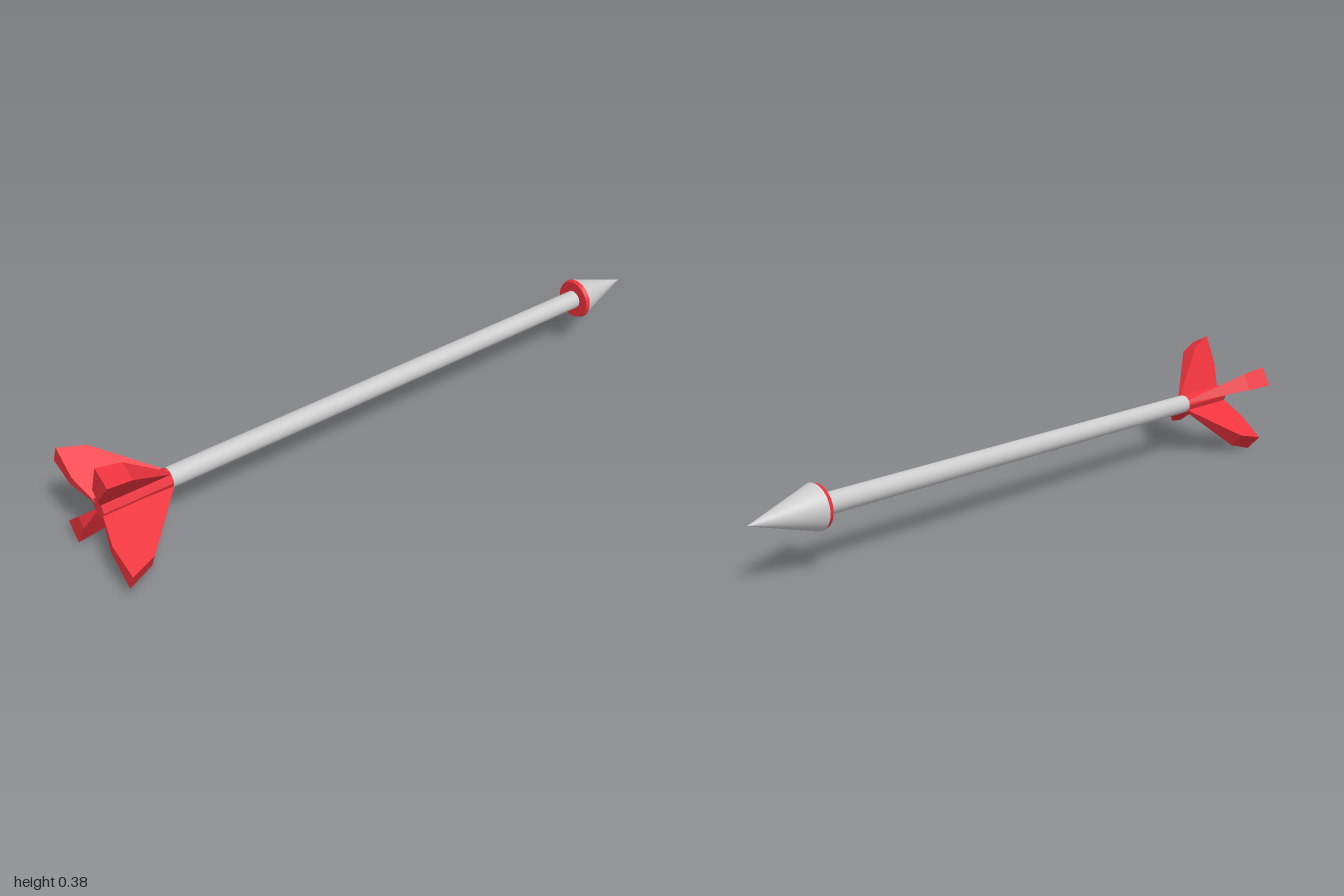
import * as THREE from 'three';
import { ConvexGeometry } from 'three/addons/geometries/ConvexGeometry.js';

const AXIS_Y = 0.184, AXIS_Z = -0.011;

export function createModel() {
  const grey = new THREE.MeshStandardMaterial({ color: 0xcccccc });
  const red = new THREE.MeshStandardMaterial({ color: 0xee333d });
  const redFlat = new THREE.MeshStandardMaterial({ color: 0xee333d, flatShading: true });
  const model = new THREE.Group();
  model.name = 'arrow';

  // Round part along x, from x0 (radius r0) to x1 (radius r1)
  function round(name, x0, x1, r0, r1, sides, material) {
    const geo = new THREE.CylinderGeometry(r1, r0, x1 - x0, sides);
    geo.rotateZ(-Math.PI / 2);
    const mesh = new THREE.Mesh(geo, material);
    mesh.name = name;
    mesh.position.set((x0 + x1) / 2, AXIS_Y, AXIS_Z);
    model.add(mesh);
  }

  round('shaft', -0.765, 0.785, 0.03, 0.03, 32, grey);
  round('headCollar', 0.78, 0.793, 0.061, 0.065, 48, red);
  round('head', 0.793, 1, 0.065, 0, 48, grey);
  round('tailSleeve', -0.975, -0.765, 0.03, 0.03, 8, redFlat);

  // Fin outline: x position and fraction of the way from axis to tip
  const outline = [[-0.765, 0.14], [-0.92, 0.87], [-1, 1], [-1, 0.53], [-0.975, 0.1]];
  // Two outer corners (z, y) of each wedge-shaped fin
  const fins = {
    upperFrontFin: [[0.127, 0.347], [0.068, 0.377]],
    upperBackFin: [[-0.172, 0.3], [-0.202, 0.241]],
    lowerBackFin: [[-0.127, 0.002], [-0.172, 0.05]],
    lowerFrontFin: [[0.203, 0.109], [0.174, 0.05]],
  };
  for (const [name, corners] of Object.entries(fins)) {
    const points = corners.flatMap(([z, y]) => outline.map(([x, t]) =>
      new THREE.Vector3(x, AXIS_Y + t * (y - AXIS_Y), AXIS_Z + t * (z - AXIS_Z))));
    const fin = new THREE.Mesh(new ConvexGeometry(points), redFlat);
    fin.name = name;
    model.add(fin);
  }
  return model;
}
